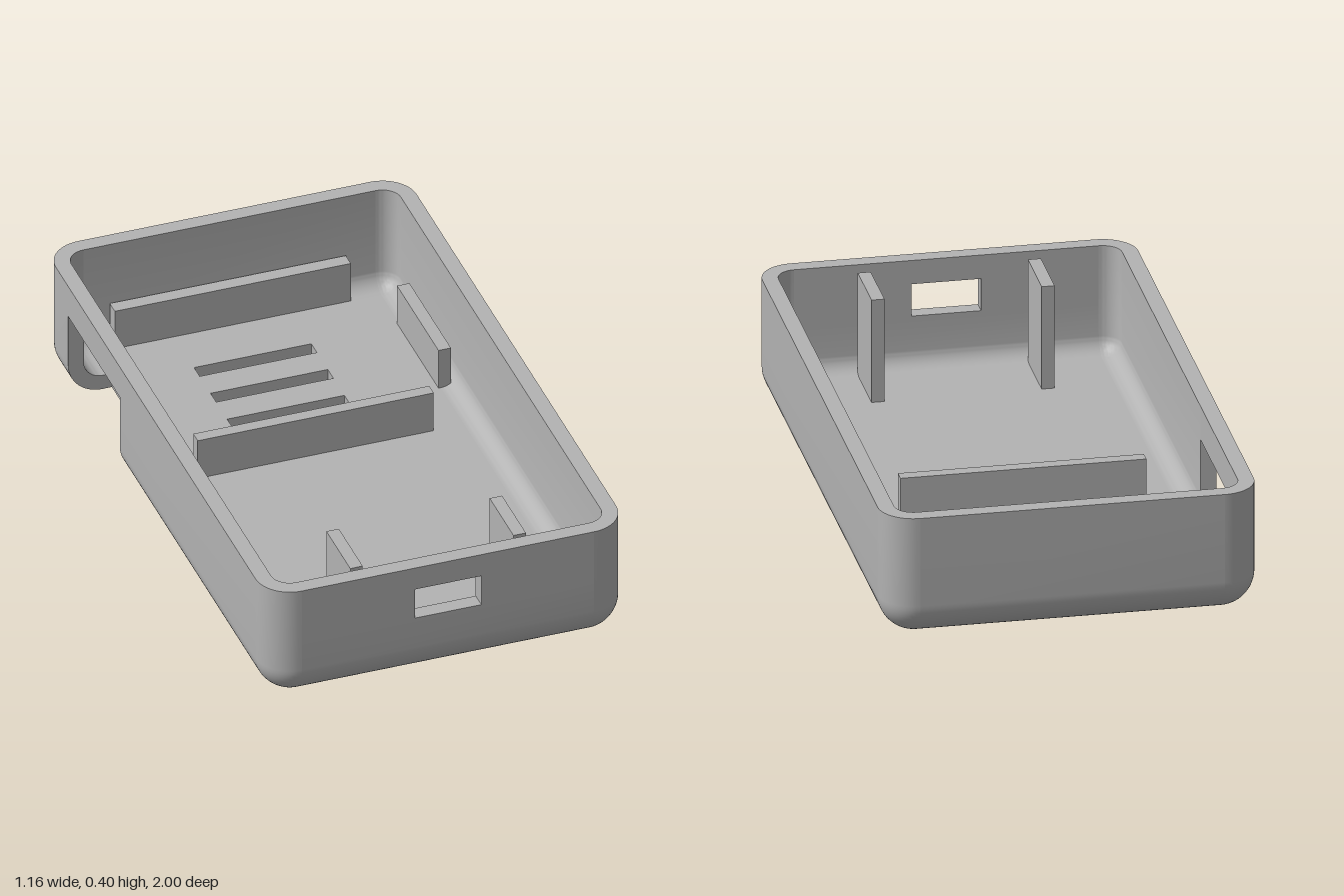
import * as THREE from 'three';
import { toCreasedNormals } from 'three/addons/utils/BufferGeometryUtils.js';

const HX = 0.58, HZ = 1, H = 0.4, R = 0.11, T = 0.05;
const CX = HX - R, CZ = HZ - R; // centres of the rounded edges

// Wall cross-section: u points outward from the fillet centre, y up
function wallSection(top, steps = 14) {
  const pts = [];
  for (let i = 0; i <= steps; i++) {
    const t = (i / steps) * Math.PI / 2;
    pts.push(new THREE.Vector2(R * Math.sin(t), R - R * Math.cos(t)));
  }
  pts.push(new THREE.Vector2(R, top), new THREE.Vector2(R - T, top));
  for (let i = steps; i >= 0; i--) {
    const t = (i / steps) * Math.PI / 2;
    pts.push(new THREE.Vector2((R - T) * Math.sin(t), R - (R - T) * Math.cos(t)));
  }
  return pts;
}

export function createModel() {
  const model = new THREE.Group();
  model.name = 'enclosureTray';
  const grey = new THREE.MeshStandardMaterial({ color: 0xb3b3b3 });
  grey.name = 'greyPlastic';

  const add = (name, geometry) => {
    const mesh = new THREE.Mesh(geometry, grey);
    mesh.name = name;
    model.add(mesh);
    return mesh;
  };
  const block = (name, x0, x1, y0, y1, z0, z1) =>
    add(name, new THREE.BoxGeometry(x1 - x0, y1 - y0, z1 - z0))
      .position.set((x0 + x1) / 2, (y0 + y1) / 2, (z0 + z1) / 2);

  // Straight wall: section extruded from a to b along its local z
  const wall = (name, angle, offset, a, b, top = H) => {
    const geo = new THREE.ExtrudeGeometry(new THREE.Shape(wallSection(top)),
      { depth: b - a, bevelEnabled: false });
    geo.translate(offset, 0, a);
    geo.rotateY(angle);
    add(name, toCreasedNormals(geo, 0.5));
  };

  // Floor with the side notch and three vent slots
  const cut = { x: -0.44, z0: -0.78, z1: -0.32, top: 0.29 };
  const floor = new THREE.Shape([
    [-CX, -CZ], [CX, -CZ], [CX, CZ], [-CX, CZ],
    [-CX, cut.z1], [cut.x, cut.z1], [cut.x, cut.z0], [-CX, cut.z0],
  ].map(([x, z]) => new THREE.Vector2(x, z)));
  for (const z of [-0.7, -0.553, -0.405]) {
    floor.holes.push(new THREE.Path([
      [-0.195, z - 0.025], [-0.195, z + 0.025], [0.182, z + 0.025], [0.182, z - 0.025],
    ].map(([x, y]) => new THREE.Vector2(x, y))));
  }
  const floorGeo = new THREE.ExtrudeGeometry(floor, { depth: T, bevelEnabled: false });
  floorGeo.rotateX(Math.PI / 2);
  floorGeo.translate(0, T, 0);
  add('floor', floorGeo);

  // Rounded corners
  [[1, 1], [1, -1], [-1, -1], [-1, 1]].forEach(([sx, sz], i) => {
    const geo = new THREE.LatheGeometry(wallSection(H), 14, i * Math.PI / 2, Math.PI / 2);
    add('corner' + (i + 1), toCreasedNormals(geo, 0.5)).position.set(sx * CX, 0, sz * CZ);
  });

  // Plain walls
  wall('leftWall', 0, CX, -CZ, CZ);
  wall('backWall', Math.PI / 2, CZ, -CX, CX);

  // Right wall with a large opening that runs into the floor
  wall('rightWallFront', Math.PI, CX, -CZ, -cut.z1);
  wall('rightWallBack', Math.PI, CX, -cut.z0, CZ);
  block('rightWallLintel', -HX, -HX + T, cut.top, H, cut.z0, cut.z1);

  // Front wall around the port window
  const port = { x: 0.107, y0: 0.217, y1: 0.322 };
  wall('frontWallLower', -Math.PI / 2, CZ, -CX, CX, port.y0);
  block('frontWallTop', -port.x, port.x, port.y1, H, HZ - T, HZ);
  block('frontWallRight', -CX, -port.x, port.y0, H, HZ - T, HZ);
  block('frontWallLeft', port.x, CX, port.y0, H, HZ - T, HZ);

  // Inner ribs and posts
  const base = T - 0.01, ribTop = 0.188;
  block('backRib', -0.387, 0.372, base, ribTop, -0.945, -0.9);
  block('middleRib', -0.387, 0.372, base, ribTop, -0.2, -0.16);
  block('sideRib', 0.463, 0.503, base, ribTop, -0.74, -0.37);
  block('rightPost', -0.285, -0.245, base, 0.387, 0.705, 0.918);
  block('leftPost', 0.24, 0.28, base, 0.387, 0.705, 0.918);

  return model;
}
